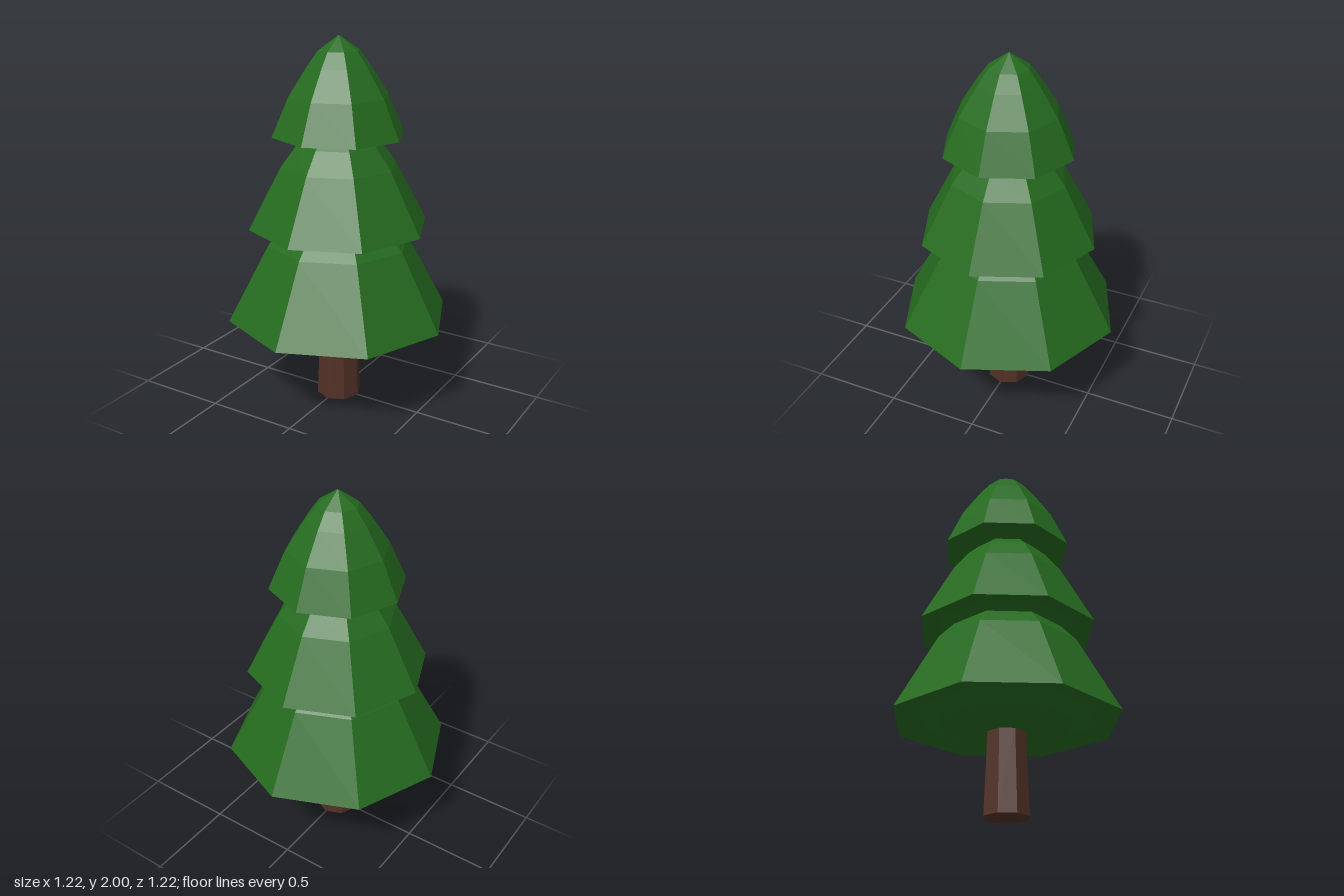
import * as THREE from 'three';

const SIDES = 8;

// Each tier runs from the centre of its underside, out to the rim, and up to the tip: [radius, height]
const TIERS = {
  lowerBranches: [
    [0, 0.42], [0.1, 0.432], [0.36, 0.475], [0.475, 0.515], [0.61, 0.49],
    [0.387, 0.905], [0.28, 1.02], [0.18, 1.1], [0, 1.14],
  ],
  middleBranches: [
    [0, 0.95], [0.28, 0.987], [0.38, 1.02], [0.487, 1.0],
    [0.312, 1.33], [0.225, 1.445], [0.14, 1.525], [0, 1.57],
  ],
  topBranches: [
    [0, 1.475], [0.18, 1.495], [0.28, 1.51], [0.355, 1.49],
    [0.265, 1.695], [0.168, 1.845], [0.108, 1.925], [0, 2.0],
  ],
};

export function createModel() {
  const tree = new THREE.Group();
  tree.name = 'pineTree';

  const needles = new THREE.MeshStandardMaterial({ color: 0x256b1f, flatShading: true });
  const bark = new THREE.MeshStandardMaterial({ color: 0x523126, flatShading: true });

  // Tapered trunk, its top hidden inside the lowest tier
  const trunk = new THREE.Mesh(new THREE.CylinderGeometry(0.104, 0.123, 0.46, SIDES), bark);
  trunk.name = 'trunk';
  trunk.position.y = 0.23;
  tree.add(trunk);

  // Three stacked tiers of branches
  for (const [name, profile] of Object.entries(TIERS)) {
    const points = profile.map(([r, y]) => new THREE.Vector2(r, y));
    const tier = new THREE.Mesh(new THREE.LatheGeometry(points, SIDES), needles);
    tier.name = name;
    tree.add(tier);
  }

  return tree;
}
